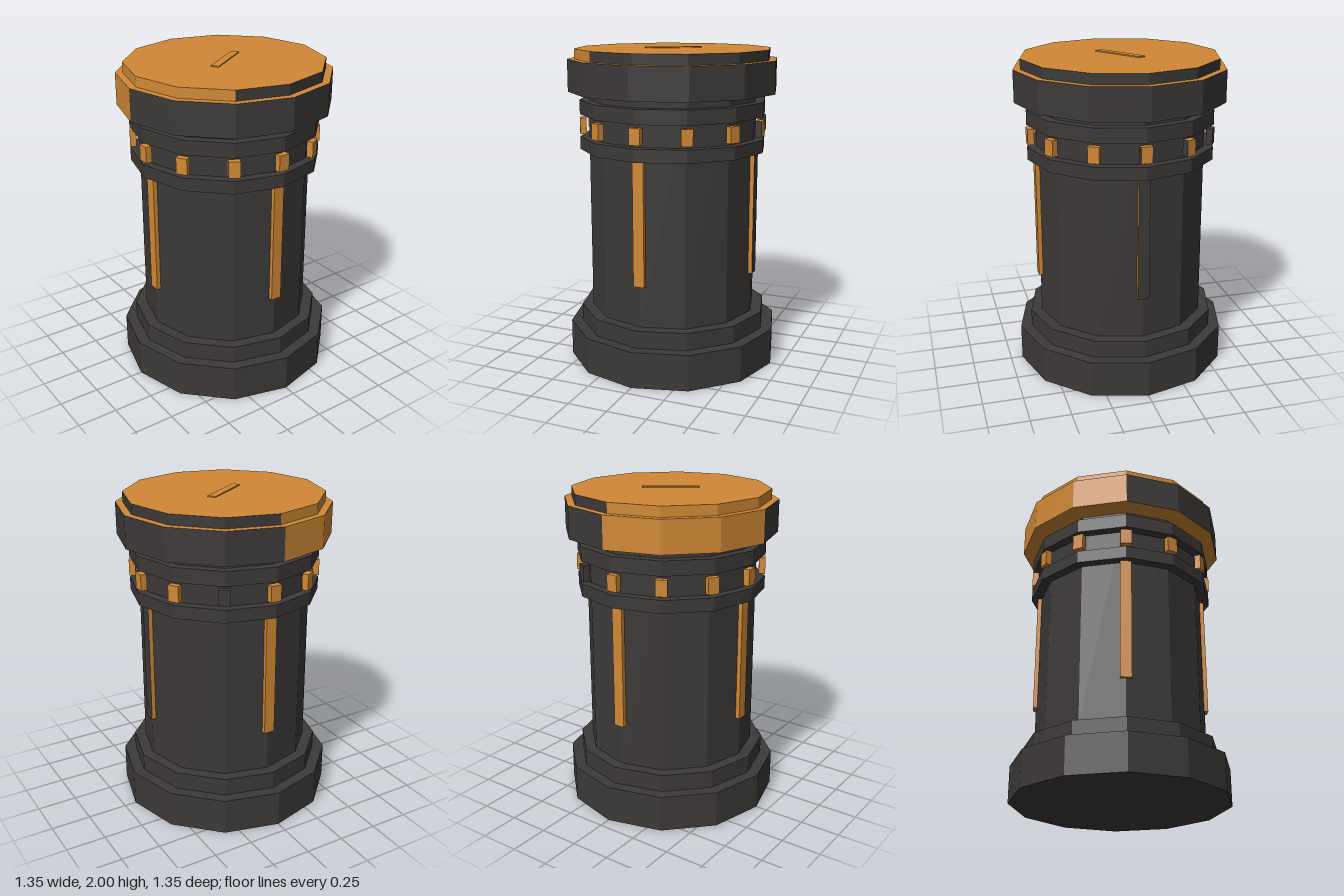
import * as THREE from 'three';

const SIDES = 12;
const STEP = Math.PI / 6;

export function createModel() {
  const model = new THREE.Group();
  model.name = 'model';

  const dark = new THREE.MeshStandardMaterial({ color: 0x3d3939, flatShading: true });
  dark.name = 'charcoal';
  const orange = new THREE.MeshStandardMaterial({ color: 0xd18936, flatShading: true });
  orange.name = 'amber';

  function add(name, geometry, material, parent = model) {
    const mesh = new THREE.Mesh(geometry, material);
    mesh.name = name;
    parent.add(mesh);
    return mesh;
  }

  // Twelve-sided drum standing between two heights
  function drumGeometry(r, y0, y1) {
    return new THREE.CylinderGeometry(r, r, y1 - y0, SIDES).translate(0, (y0 + y1) / 2, 0);
  }

  // Drum with amber ends and a run of amber side panels
  function paintedDrum(name, r, y0, y1, first, last) {
    const geo = drumGeometry(r, y0, y1);
    geo.clearGroups();
    for (let i = 0; i < SIDES; i++) geo.addGroup(i * 6, 6, i >= first && i < last ? 1 : 0);
    geo.addGroup(SIDES * 6, SIDES * 6, 1);
    add(name, geo, [dark, orange]);
  }

  // Plain stacked drums
  [
    ['base', 0.675, 0, 0.23],
    ['baseStep', 0.603, 0.23, 0.34],
    ['column', 0.532, 0.34, 1.73],
    ['lowerCollar', 0.59, 1.37, 1.45],
    ['upperCollar', 0.59, 1.59, 1.68],
  ].forEach(([name, r, y0, y1]) => add(name, drumGeometry(r, y0, y1), dark));

  // Cap and lid
  paintedDrum('cap', 0.66, 1.73, 1.93, 6, 9);
  paintedDrum('lid', 0.615, 1.93, 1.993, 6, 11);

  // Diagonal bar on the lid
  const bar = add('lidBar', new THREE.BoxGeometry(0.35, 0.009, 0.05), orange);
  bar.position.y = 1.9955;
  bar.rotation.y = 0.605;

  // Ring of small blocks between the collars
  const blocks = new THREE.Group();
  blocks.name = 'blockRing';
  model.add(blocks);
  for (let i = 0; i < SIDES; i++) {
    const materials = Array(6).fill(i === 5 ? dark : orange);
    if (i === 3 || i === 4) materials[1] = dark;
    const block = add('block', new THREE.BoxGeometry(0.07, 0.1, 0.04), materials, blocks);
    block.position.set(Math.sin(i * STEP) * 0.57, 1.52, Math.cos(i * STEP) * 0.57);
    block.rotation.y = i * STEP;
  }

  // Four tall strips on the column
  for (let i = 0; i < 4; i++) {
    const a = i * Math.PI / 2;
    const materials = Array(6).fill(orange);
    if (i === 1) materials[4] = dark;
    const strip = add('columnStrip', new THREE.BoxGeometry(0.07, 0.77, 0.04), materials);
    strip.position.set(Math.sin(a) * 0.529, 0.985, Math.cos(a) * 0.529);
    strip.rotation.y = a;
  }

  return model;
}
